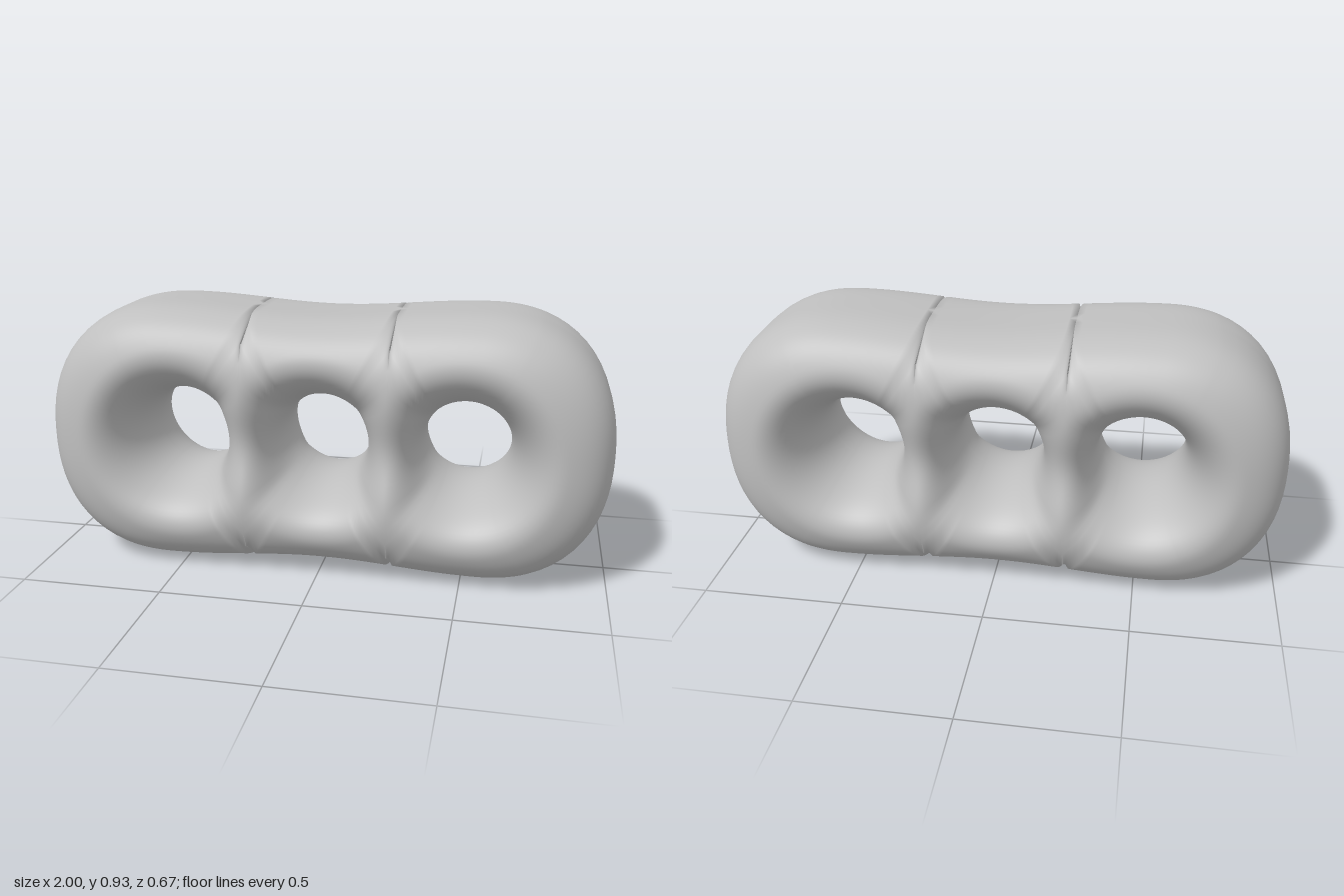
import * as THREE from 'three';
import { mergeVertices } from 'three/addons/utils/BufferGeometryUtils.js';

const MID_Y = 0.467;      // height of the hole axes
const HALF_Y = 0.467;     // half height at the bulging ends
const HOLE_R = 0.152;
const PITCH = 0.5;        // hole spacing
const DEPTH = 0.345;      // half thickness at the crest
const STEPS = 40;         // rings from hole rim to cell edge
const ARC = 24;           // segments on each of the four cell sides

// Half height of the waisted middle
const halfHeight = (x) => HALF_Y - 0.03 * (1 + Math.cos((Math.PI * x) / 0.55)) / 2;

// 0 on the long axis, 1 on the outer silhouette
function outlineField(x, y) {
  const ax = Math.abs(x), ay = Math.abs(y);
  if (ax <= 0.55) return ay / halfHeight(ax);
  return Math.pow(Math.pow((ax - 0.55) / 0.45, 2.3) + Math.pow(ay / HALF_Y, 2.3), 1 / 2.3);
}

// Distance along a ray from a hole centre to the silhouette or dividing wall
function reach(cx, angle) {
  const c = Math.cos(angle), s = Math.sin(angle);
  let lo = 0.15, hi = 1.2;
  for (let k = 0; k < 45; k++) {
    const r = (lo + hi) / 2;
    if (outlineField(cx + r * c, r * s) < 1) lo = r; else hi = r;
  }
  const walled = cx === 0 || c * cx < 0;
  const wall = walled && Math.abs(c) > 1e-6 ? PITCH / 2 / Math.abs(c) : Infinity;
  return Math.min(lo, wall);
}

// Rounded outer edge times a flared hole, with the dividing walls dipped
function surfaceDepth(x, y, e, flare) {
  const q = Math.min(1, outlineField(x, y));
  const outer = Math.pow(1 - Math.pow(q, 3.7), 1 / 3.7);
  const t = 1 - Math.min(1, e / flare);
  const hole = Math.sqrt(1 - t * t);
  const dx = (Math.abs(x) - PITCH / 2) / 0.1;
  const dip = 1 - 0.14 * Math.exp(-dx * dx - (y / 0.14) ** 2);
  return DEPTH * outer * hole * dip;
}

// Ray angles that land exactly on the four cell corners
function cellAngles() {
  const a = Math.atan2(halfHeight(PITCH / 2), PITCH / 2);
  const corners = [-a, a, Math.PI - a, Math.PI + a, 2 * Math.PI - a];
  const angles = [];
  for (let k = 0; k < 4; k++) {
    for (let i = 0; i < ARC; i++) {
      angles.push(THREE.MathUtils.lerp(corners[k], corners[k + 1], i / ARC));
    }
  }
  return angles;
}

function buildBody() {
  const positions = [], indices = [];
  const angles = cellAngles();
  const n = angles.length, row = STEPS + 1;
  for (const cx of [-PITCH, 0, PITCH]) {
    for (const side of [1, -1]) {
      const base = positions.length / 3;
      for (const angle of angles) {
        const length = reach(cx, angle) - HOLE_R;
        const wall = PITCH / 2 / Math.max(1e-6, Math.abs(Math.cos(angle))) - HOLE_R;
        const walled = cx === 0 || Math.cos(angle) * cx < 0;
        const flare = walled ? Math.min(0.19, wall) : 0.19;
        for (let j = 0; j <= STEPS; j++) {
          const u = j / STEPS;
          const e = length * u * u * u * (u * (6 * u - 15) + 10);
          const x = cx + (HOLE_R + e) * Math.cos(angle);
          const y = (HOLE_R + e) * Math.sin(angle);
          let z = surfaceDepth(x, y, e, flare);
          if (j === 0 || (j === STEPS && outlineField(x, y) > 0.99999)) z = 0;
          positions.push(x, y + MID_Y, side * z);
        }
      }
      for (let i = 0; i < n; i++) {
        for (let j = 0; j < STEPS; j++) {
          const a = base + i * row + j, b = base + ((i + 1) % n) * row + j;
          if (side > 0) indices.push(a, a + 1, b, b, a + 1, b + 1);
          else indices.push(a, b, a + 1, b, b + 1, a + 1);
        }
      }
    }
  }
  let geometry = new THREE.BufferGeometry();
  geometry.setAttribute('position', new THREE.Float32BufferAttribute(positions, 3));
  geometry.setIndex(indices);
  geometry = mergeVertices(geometry, 1e-5);
  geometry.computeVertexNormals();
  return geometry;
}

export function createModel() {
  const group = new THREE.Group();
  group.name = 'threeHoleTorus';
  const grey = new THREE.MeshStandardMaterial({ color: 0xbfbfbf });
  grey.name = 'grey';
  const body = new THREE.Mesh(buildBody(), grey);
  body.name = 'body';
  group.add(body);
  return group;
}
